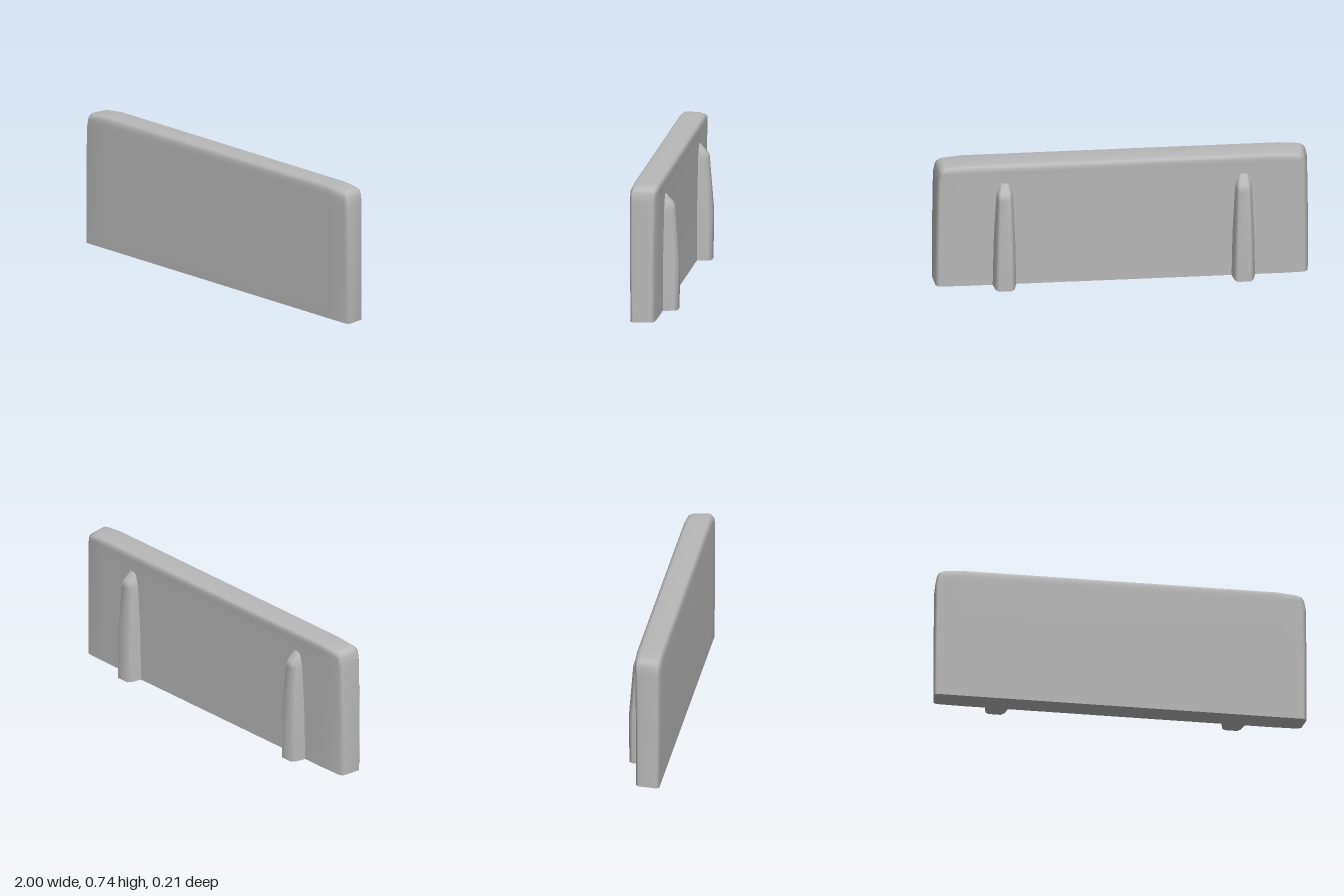
import * as THREE from 'three';

// Skins a stack of horizontal rings (counterclockwise from above, even count) and caps both ends.
function loft(rings, openSide = -1) {
  const n = rings[0].length;
  const pos = rings.flat(2);
  const index = [];
  const quad = (a, b, c, d) => index.push(a, b, c, a, c, d);
  for (let j = 0; j < rings.length - 1; j++) {
    for (let i = 0; i < n; i++) {
      if (i === openSide) continue;
      const k = (i + 1) % n;
      quad(j * n + i, j * n + k, (j + 1) * n + k, (j + 1) * n + i);
    }
  }
  // the base has its own vertices so its edge stays sharp
  const base = rings.length * n;
  pos.push(...rings[0].flat());
  const top = base - n;
  for (let i = 0; i < n / 2 - 1; i++) {
    quad(top + i, top + i + 1, top + n - 2 - i, top + n - 1 - i);
    quad(base + n - 1 - i, base + n - 2 - i, base + i + 1, base + i);
  }
  const g = new THREE.BufferGeometry();
  g.setAttribute('position', new THREE.Float32BufferAttribute(pos, 3));
  g.setIndex(index);
  g.computeVertexNormals();
  return g;
}

// Wall outline at one height: chamfered corners, ends dipping slightly near the top
function wallRing([y, w, zf, zb]) {
  const c = 0.013;
  const e = y > 0.7 ? y - 0.009 : y;
  const left = w + 0.003;
  return [
    [-left, e, zf - c], [-left + 0.012, e, zf], [-0.84, y, zf], [0.84, y, zf], [w - 0.02, e, zf], [w, e, zf - c],
    [w - 0.012, e, zb + 0.018], [w - 0.03, e, zb + 0.004], [0.84, y, zb], [-0.84, y, zb],
    [-left + 0.03, e, zb + 0.004], [-left + 0.012, e, zb + 0.018],
  ];
}

// Buttress outline at one height: open toward the wall, bevelled at the back
function buttressRing([y, h, z]) {
  const zw = -0.025;
  const zs = Math.min(z + 0.02, zw - 0.001);
  return [
    [-h, y, zw], [h, y, zw], [h * 0.8, y, zs],
    [h * 0.55, y, z], [-h * 0.55, y, z], [-h * 0.8, y, zs],
  ];
}

export function createModel() {
  const group = new THREE.Group();
  group.name = 'wallPanel';
  const concrete = new THREE.MeshStandardMaterial({ color: 0xb8b8b8 });
  concrete.name = 'concrete grey';

  // slab: height, half width, front z, back z
  const slab = new THREE.Mesh(loft([
    [0, 0.998, 0.102, -0.028],
    [0.3, 0.997, 0.106, -0.029],
    [0.64, 0.992, 0.106, -0.034],
    [0.69, 0.983, 0.106, -0.037],
    [0.715, 0.975, 0.104, -0.038],
    [0.727, 0.966, 0.098, -0.03],
    [0.735, 0.955, 0.088, -0.013],
  ].map(wallRing)), concrete);
  slab.name = 'slab';
  group.add(slab);

  // buttresses: height, half width, back z
  const shape = loft([
    [0, 0.063, -0.104],
    [0.27, 0.058, -0.107],
    [0.54, 0.046, -0.086],
    [0.56, 0.044, -0.084],
    [0.577, 0.04, -0.075],
    [0.625, 0.026, -0.032],
  ].map(buttressRing), 0);
  for (const [name, x] of [['rightButtress', -0.647], ['leftButtress', 0.622]]) {
    const b = new THREE.Mesh(shape, concrete);
    b.name = name;
    b.position.x = x;
    group.add(b);
  }
  return group;
}
